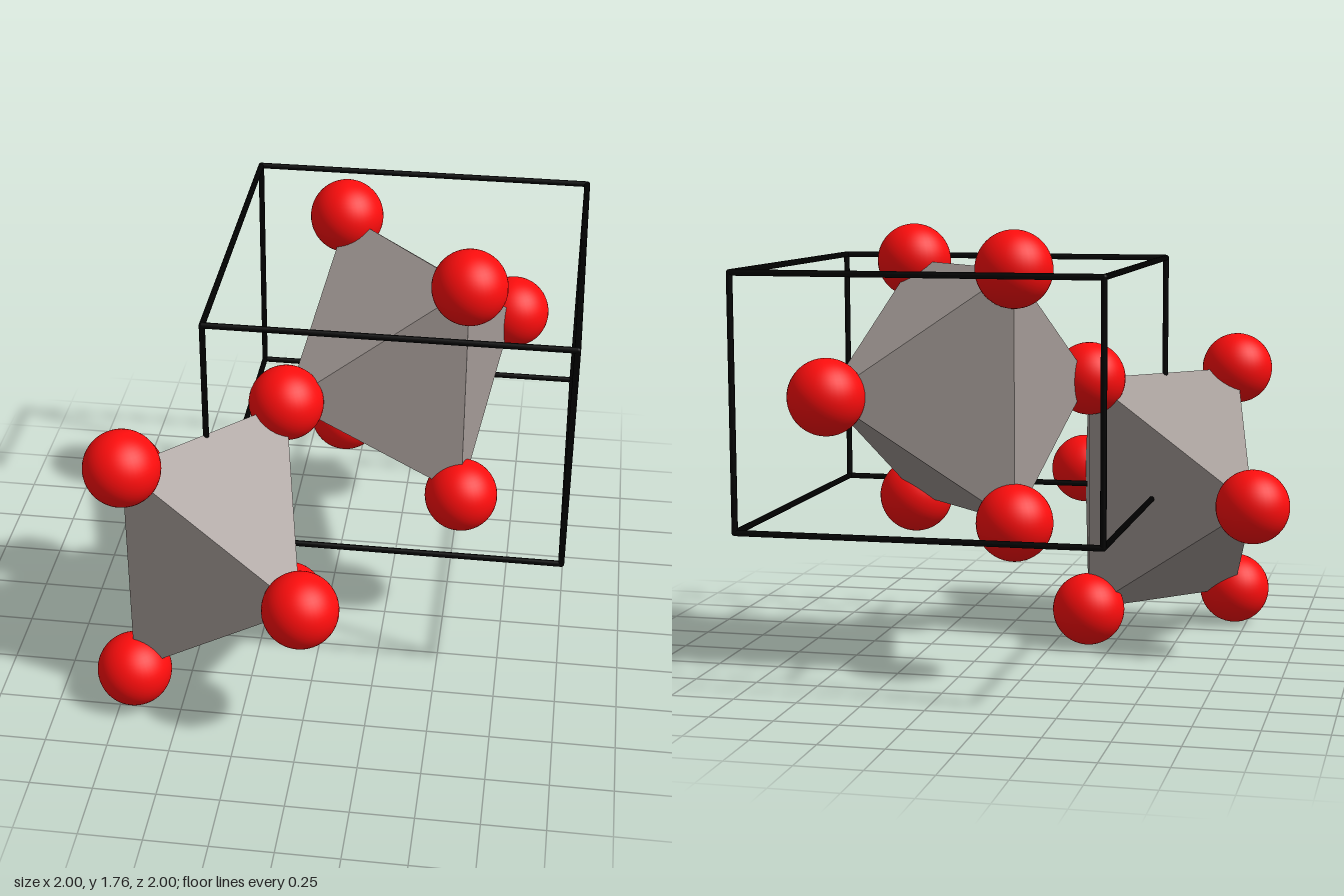
import * as THREE from 'three';
import { ConvexGeometry } from 'three/addons/geometries/ConvexGeometry.js';

const ATOM_R = 0.15, WIRE_R = 0.012;
const CELL_MIN = new THREE.Vector3(-0.42, 0.645, -0.985);
const CELL_MAX = new THREE.Vector3(0.985, 1.62, 0.42);
const HALF_H = (CELL_MAX.y - CELL_MIN.y) / 2;

// Six corners: two on a horizontal diagonal, four in the upright rectangle across it.
// s = 1 runs the long diagonal along (+x, +z), s = -1 along (+x, -z).
function octahedronCorners(center, s) {
  const far = 0.428, near = 0.274, points = [];
  for (const k of [-1, 1]) {
    points.push(new THREE.Vector3(k * far, 0, k * s * far));
    for (const v of [-1, 1]) points.push(new THREE.Vector3(k * near, v * HALF_H, -k * s * near));
  }
  return points.map((p) => p.add(center));
}

export function createModel() {
  const model = new THREE.Group();
  model.name = 'crystalModel';
  const red = new THREE.MeshStandardMaterial({ color: 0xff0d0d });
  const stone = new THREE.MeshStandardMaterial({ color: 0xa39a96, flatShading: true });
  const black = new THREE.MeshStandardMaterial({ color: 0x000000 });

  const add = (parent, name, geometry, material, position) => {
    const mesh = new THREE.Mesh(geometry, material);
    mesh.name = name;
    if (position) mesh.position.copy(position);
    parent.add(mesh);
    return mesh;
  };

  // Two octahedra: one on a cell corner, one at the cell centre
  const cellCenter = CELL_MIN.clone().add(CELL_MAX).multiplyScalar(0.5);
  const cellCorner = new THREE.Vector3(CELL_MIN.x, CELL_MIN.y, CELL_MAX.z);
  const corner = octahedronCorners(cellCorner, 1);
  const middle = octahedronCorners(cellCenter, -1);
  add(model, 'cornerOctahedron', new ConvexGeometry(corner), stone);
  add(model, 'centerOctahedron', new ConvexGeometry(middle), stone);

  // One atom per corner; the corner shared by both octahedra gets a single atom
  const atoms = new THREE.Group();
  atoms.name = 'atoms';
  model.add(atoms);
  const sphere = new THREE.SphereGeometry(ATOM_R, 40, 28);
  const placed = [];
  for (const p of [...corner, ...middle]) {
    if (placed.some((q) => q.distanceTo(p) < 0.05)) continue;
    placed.push(p);
    add(atoms, 'atom', sphere, red, p);
  }

  // Wire cell: four bars along each axis, with rounded joints
  const cell = new THREE.Group();
  cell.name = 'unitCell';
  model.add(cell);
  const axes = ['x', 'y', 'z'];
  axes.forEach((axis, i) => {
    const u = axes[(i + 1) % 3], v = axes[(i + 2) % 3];
    const length = CELL_MAX[axis] - CELL_MIN[axis];
    const bar = new THREE.CylinderGeometry(WIRE_R, WIRE_R, length, 12);
    if (axis === 'x') bar.rotateZ(Math.PI / 2);
    if (axis === 'z') bar.rotateX(Math.PI / 2);
    for (const a of [CELL_MIN, CELL_MAX]) for (const b of [CELL_MIN, CELL_MAX]) {
      const p = cellCenter.clone();
      p[u] = a[u];
      p[v] = b[v];
      add(cell, 'cellEdge', bar, black, p);
    }
  });
  const joint = new THREE.SphereGeometry(WIRE_R, 12, 8);
  for (const a of [CELL_MIN, CELL_MAX]) for (const b of [CELL_MIN, CELL_MAX]) for (const c of [CELL_MIN, CELL_MAX])
    add(cell, 'cellJoint', joint, black, new THREE.Vector3(a.x, b.y, c.z));

  return model;
}
